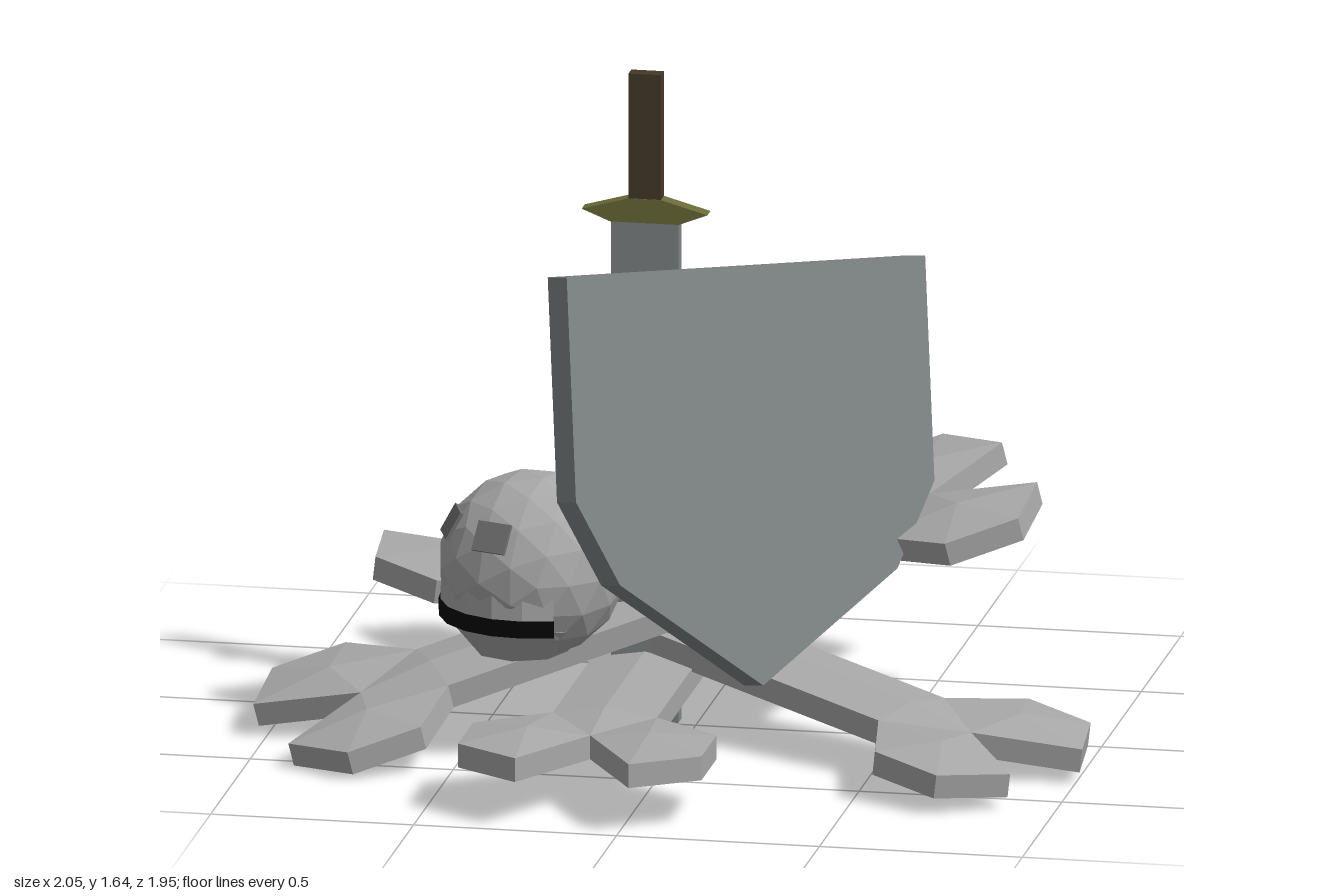
import * as THREE from 'three';

const mat = (name, color) => {
  const m = new THREE.MeshStandardMaterial({ color, flatShading: true });
  m.name = name;
  return m;
};

function add(parent, name, geometry, material, x = 0, y = 0, z = 0) {
  const mesh = new THREE.Mesh(geometry, material);
  mesh.name = name;
  mesh.position.set(x, y, z);
  parent.add(mesh);
  return mesh;
}

// One eighth of a bone, mirrored in x, y and z: ridged shaft and peaked knobs
function boneGeometry() {
  const rim = 0.03;
  const mid = [0, 0.05, 0], ridge = [0, 0.05, 0.556], notch = [0, rim, 0.743];
  const tip = [0.14, rim, 0.977], outer = [0.3, rim, 0.875], inner = [0.3, rim, 0.684];
  const neck = [0.128, rim, 0.556], side = [0.128, rim, 0], peak = [0.15, 0.053, 0.77];
  const tris = [[mid, ridge, neck], [mid, neck, side], [ridge, notch, neck]];
  const knob = [notch, tip, outer, inner, neck];
  knob.forEach((p, i) => tris.push([peak, p, knob[(i + 1) % knob.length]]));
  // Upright rim
  const edge = [...knob, side];
  for (let i = 0; i < edge.length - 1; i++) {
    const p = edge[i], q = edge[i + 1];
    const p0 = [p[0], 0, p[2]], q0 = [q[0], 0, q[2]];
    tris.push([p, p0, q0], [p, q0, q]);
  }
  const pos = [];
  for (const sx of [1, -1]) for (const sy of [1, -1]) for (const sz of [1, -1]) {
    for (const [a, b, c] of tris) {
      const order = sx * sy * sz > 0 ? [a, b, c] : [a, c, b];
      for (const v of order) pos.push(v[0] * sx, v[1] * sy, v[2] * sz);
    }
  }
  const g = new THREE.BufferGeometry();
  g.setAttribute('position', new THREE.Float32BufferAttribute(pos, 3));
  g.computeVertexNormals();
  return g;
}

// Turns a bone so that its length runs between two points, with a roll
function layBone(mesh, from, to, roll) {
  const a = new THREE.Vector3(...from), b = new THREE.Vector3(...to);
  const along = b.clone().sub(a).normalize();
  const across = new THREE.Vector3(0, 1, 0).cross(along).normalize();
  const up = along.clone().cross(across);
  mesh.quaternion.setFromRotationMatrix(new THREE.Matrix4().makeBasis(across, up, along));
  mesh.rotateZ(roll);
  mesh.position.copy(a).add(b).multiplyScalar(0.5);
}

function plate(points, depth) {
  const shape = new THREE.Shape(points.map(([x, y]) => new THREE.Vector2(x, y)));
  return new THREE.ExtrudeGeometry(shape, { depth, bevelEnabled: false });
}

export function createModel() {
  const model = new THREE.Group();
  model.name = 'battleRemains';
  const bone = mat('bone', 0xa8a8a8);
  const steel = mat('steel', 0x7f8686);
  const brass = mat('brass', 0x6c6b39);
  const leather = mat('leather', 0x46382a);
  const socket = mat('socket', 0x707070);
  const black = mat('black', 0x050505);

  // Crossed bones
  const geometry = boneGeometry();
  const bones = [
    ['lowerBone', [-0.115, 0.145, -0.743], [-0.115, 0.145, 0.743], 0],
    ['middleBone', [-0.567, 0.3, -0.33], [0.749, 0.09, 0.353], 0],
    ['upperBone', [-0.765, 0.1, 0.32], [0.524, 0.49, -0.348], 0.09],
  ];
  for (const [name, from, to, roll] of bones) {
    layBone(add(model, name, geometry, bone), from, to, roll);
  }

  // Skull, its face along its own +z
  const skull = new THREE.Group();
  skull.name = 'skull';
  skull.position.set(-0.355, 0.455, 0.235);
  skull.rotation.y = -Math.PI / 4;
  model.add(skull);
  add(skull, 'cranium', new THREE.IcosahedronGeometry(0.23, 2), bone);
  const arc = [-1.2, 2.4];
  add(skull, 'cheeks', new THREE.CylinderGeometry(0.222, 0.225, 0.09, 7, 1, false, ...arc), bone, 0, -0.04, 0);
  add(skull, 'mouth', new THREE.CylinderGeometry(0.23, 0.228, 0.042, 7, 1, false, ...arc), black, 0, -0.106, 0);
  add(skull, 'jaw', new THREE.CylinderGeometry(0.19, 0.115, 0.085, 8), bone, 0, -0.168, 0.035);
  for (const s of [-1, 1]) {
    const pivot = new THREE.Group();
    pivot.name = s > 0 ? 'leftEye' : 'rightEye';
    pivot.rotation.set(-0.51, s * 0.45, 0, 'YXZ');
    skull.add(pivot);
    add(pivot, 'eyeSocket', new THREE.BoxGeometry(0.09, 0.075, 0.009), socket, 0, 0, 0.227);
  }

  // Leaning shield
  const shield = add(model, 'shield', plate([
    [-0.53, 0], [-0.53, -0.545], [-0.41, -0.752], [0, -1.015],
    [0.41, -0.752], [0.53, -0.545], [0.53, 0],
  ], 0.08).translate(0, 0, -0.08), steel, 0.128, 1.167, 0.022);
  const across = new THREE.Vector3(0.695, -0.108, -0.712).normalize();
  const facing = across.clone().cross(new THREE.Vector3(-0.071, 0.966, -0.249)).normalize();
  const up = facing.clone().cross(across);
  shield.quaternion.setFromRotationMatrix(new THREE.Matrix4().makeBasis(across, up, facing));

  // Upright sword
  const sword = new THREE.Group();
  sword.name = 'sword';
  sword.position.set(-0.115, 0, 0.037);
  model.add(sword);
  add(sword, 'blade', new THREE.BoxGeometry(0.166, 1.26, 0.037), steel, 0, 0.65, 0);
  add(sword, 'guard', plate([
    [-0.155, 1.3], [-0.085, 1.272], [0.085, 1.272], [0.155, 1.3], [0.04, 1.332], [-0.04, 1.332],
  ], 0.04), brass, 0, 0, -0.02);
  add(sword, 'grip', new THREE.BoxGeometry(0.08, 0.325, 0.037), leather, 0, 1.483, 0);
  return model;
}
